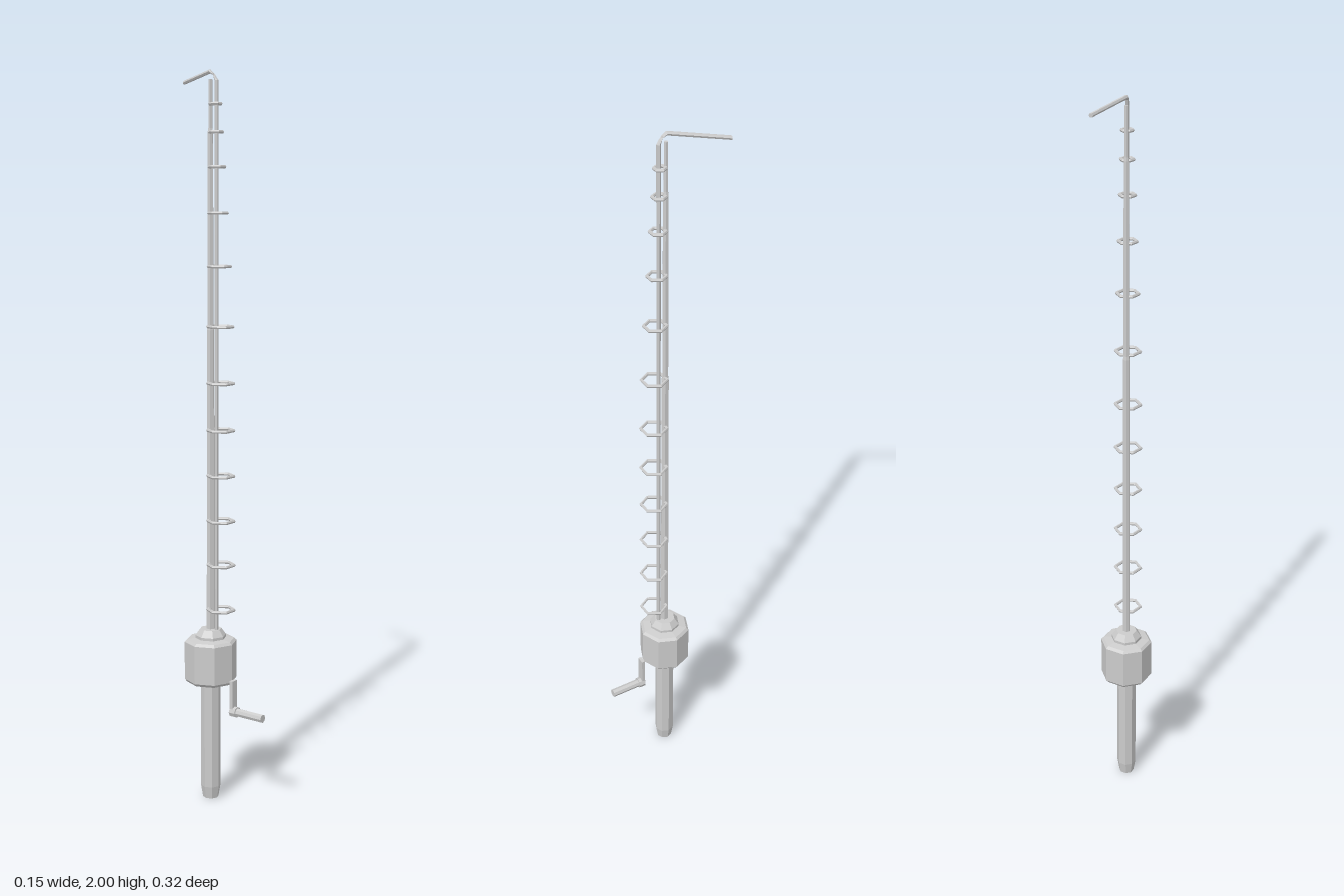
import * as THREE from 'three';

const AXIS_Z = -0.021;
const grey = new THREE.MeshStandardMaterial({ color: 0xcccccc, flatShading: true, side: THREE.DoubleSide });

function part(name, geometry, x = 0, y = 0, z = 0) {
  const mesh = new THREE.Mesh(geometry, grey);
  mesh.name = name;
  mesh.position.set(x, y, z);
  return mesh;
}

// Faceted turned part from [radius, height] pairs, bottom to top
function turned(points, sides) {
  return new THREE.LatheGeometry(points.map(([r, y]) => new THREE.Vector2(r, y)), sides);
}

// Six-sided strand; each section is a centre plus the direction its ring's second axis points
function strand(sections, radius, sides = 6) {
  const positions = [], index = [];
  sections.forEach(([x, y, z, vy, vz]) => {
    for (let i = 0; i < sides; i++) {
      const a = (i / sides) * Math.PI * 2;
      const u = Math.cos(a) * radius, v = Math.sin(a) * radius;
      positions.push(x + u, y + v * vy, z + v * vz);
    }
  });
  for (let s = 0; s < sections.length - 1; s++) {
    for (let i = 0; i < sides; i++) {
      const a = s * sides + i, b = s * sides + (i + 1) % sides;
      index.push(a, a + sides, b, b, a + sides, b + sides);
    }
  }
  // End caps
  const last = (sections.length - 1) * sides;
  for (let i = 1; i < sides - 1; i++) {
    index.push(0, i, i + 1, last, last + i + 1, last + i);
  }
  const g = new THREE.BufferGeometry();
  g.setAttribute('position', new THREE.Float32BufferAttribute(positions, 3));
  g.setIndex(index);
  g.computeVertexNormals();
  return g;
}

export function createModel() {
  const model = new THREE.Group();
  model.name = 'fishingRod';

  // Handle with a tapered butt
  model.add(part('handle', turned([[0, 0], [0.022, 0], [0.028, 0.035], [0.028, 0.35]], 8), 0, 0, AXIS_Z));

  // Octagonal reel housing and its stepped cap
  model.add(part('reelHousing', turned([
    [0, 0.34], [0.066, 0.34], [0.073, 0.348], [0.073, 0.455], [0.066, 0.462], [0.04, 0.466],
  ], 8), 0, 0, AXIS_Z));
  model.add(part('reelCap', turned([[0.043, 0.462], [0.043, 0.473], [0.03, 0.491], [0, 0.491]], 8), 0, 0, AXIS_Z));

  // Slim rod in slightly stepped sections
  model.add(part('rod', turned([
    [0.012, 0.48], [0.0105, 1.32], [0.0088, 1.33], [0.0078, 1.84], [0.006, 1.85], [0.0055, 1.975], [0, 1.975],
  ], 6), 0, 0, AXIS_Z));

  // Hexagonal line guides, back edge resting on the rod axis: [height, outer radius]
  const guides = new THREE.Group();
  guides.name = 'lineGuides';
  [
    [0.55, 0.041], [0.677, 0.041], [0.80, 0.0405], [0.925, 0.04], [1.05, 0.04], [1.178, 0.0395],
    [1.33, 0.038], [1.49, 0.034], [1.63, 0.029], [1.75, 0.025], [1.84, 0.0215], [1.912, 0.019],
  ].forEach(([y, r]) => {
    const tube = 0.0045;
    const ring = part('lineGuide', new THREE.TorusGeometry(r - tube, tube, 6, 6), 0, y, AXIS_Z + r * 0.866);
    ring.rotation.x = Math.PI / 2;
    guides.add(ring);
  });
  model.add(guides);

  // Line rising through the guides, over the tip and away to the back
  model.add(part('line', strand([
    [0, 0.47, -0.001, 0, -1],
    [0, 1.972, -0.001, 0, -1],
    [0, 1.987, -0.009, 0.7, -0.7],
    [0, 1.995, -0.022, 1, 0],
    [0.065, 1.978, -0.159, 1, 0],
  ], 0.0055)));

  // Crank: arm on the front of the reel, collar and grip
  const crank = new THREE.Group();
  crank.name = 'crank';
  crank.add(part('crankArm', new THREE.BoxGeometry(0.022, 0.1, 0.01), 0, 0.305, 0.057));
  const collar = part('crankCollar', new THREE.CylinderGeometry(0.015, 0.015, 0.019, 8), 0, 0.266, 0.062);
  const grip = part('crankGrip', new THREE.CylinderGeometry(0.0115, 0.0115, 0.09, 8), 0, 0.266, 0.112);
  collar.rotation.x = grip.rotation.x = Math.PI / 2;
  crank.add(collar, grip);
  model.add(crank);

  return model;
}
